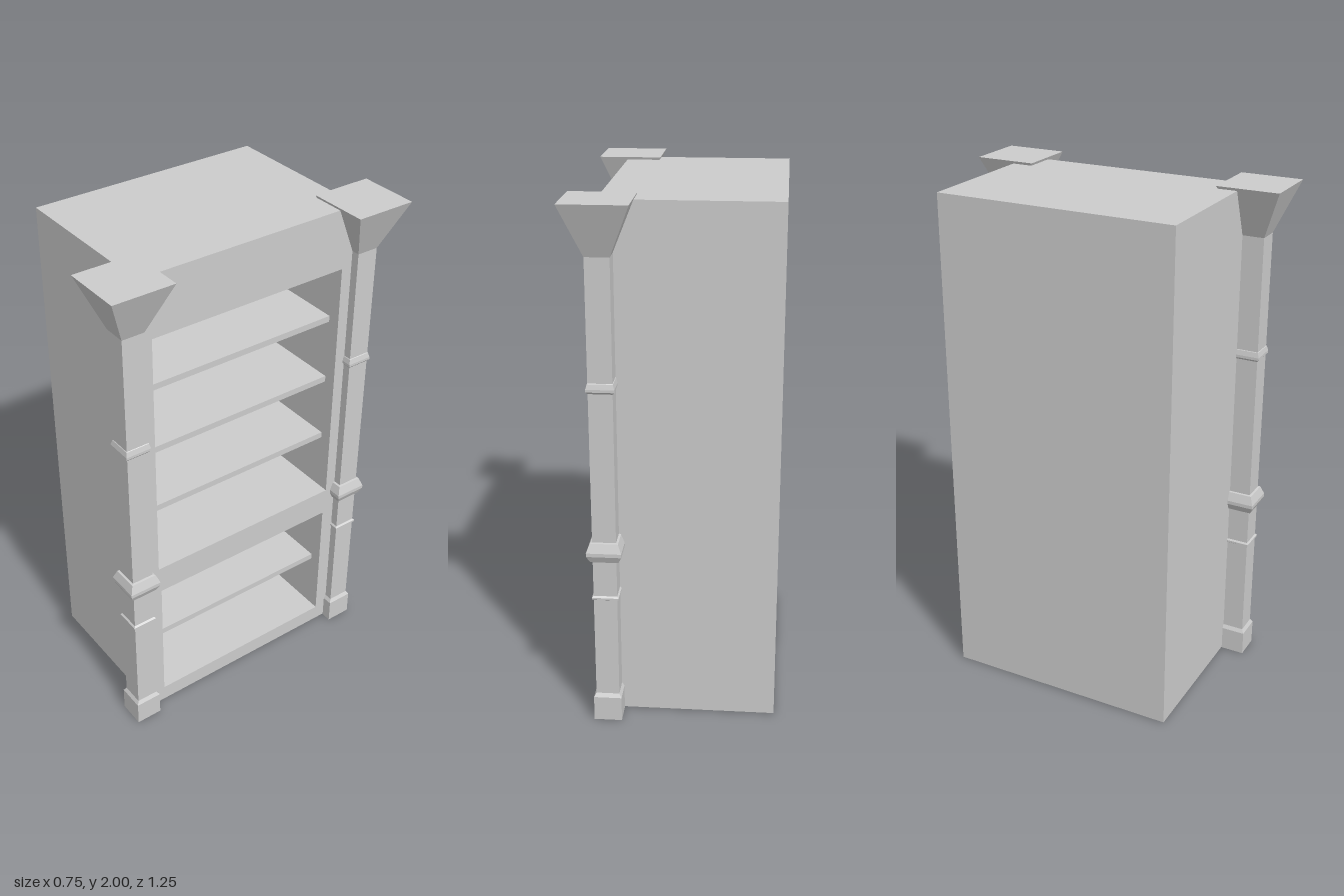
import * as THREE from 'three';

const material = new THREE.MeshStandardMaterial({ color: 0xcccccc, flatShading: true });

function add(parent, name, geometry, x = 0, y = 0, z = 0) {
  const mesh = new THREE.Mesh(geometry, material);
  mesh.name = name;
  mesh.position.set(x, y, z);
  parent.add(mesh);
  return mesh;
}

// Rectangle outline centred on x = 0, running from y0 to y1
function rectangle(path, halfWidth, y0, y1) {
  path.moveTo(-halfWidth, y0);
  path.lineTo(halfWidth, y0);
  path.lineTo(halfWidth, y1);
  path.lineTo(-halfWidth, y1);
  path.closePath();
  return path;
}

// Square-section turning: profile is a list of [half width, height]
function squareTurned(profile) {
  const points = profile.map(([h, y]) => new THREE.Vector2(h * Math.SQRT2, y));
  return new THREE.LatheGeometry(points, 4, Math.PI / 4).toNonIndexed();
}

export function createModel() {
  const model = new THREE.Group();
  model.name = 'bookcase';

  const back = -0.38, cavityBack = -0.35, front = 0.265;
  const bottom = 0.004, top = 1.99, halfWidth = 0.4675, centreZ = -0.0025;
  const upper = { half: 0.415, y0: 0.725, y1: 1.75, shelves: [0.978, 1.248, 1.518] };
  const lower = { half: 0.405, y0: 0.07, y1: 0.61, shelves: [0.333] };

  // Carcass with two open compartments facing +x
  const outline = rectangle(new THREE.Shape(), halfWidth, bottom, top);
  for (const c of [upper, lower]) {
    outline.holes.push(rectangle(new THREE.Path(), c.half, c.y0, c.y1));
  }
  const carcass = new THREE.ExtrudeGeometry(outline, { depth: front - cavityBack, bevelEnabled: false });
  carcass.rotateY(Math.PI / 2);
  add(model, 'carcass', carcass, cavityBack, 0, centreZ);

  // Back panel closes the compartments
  add(model, 'backPanel',
    new THREE.BoxGeometry(cavityBack - back, top - bottom, halfWidth * 2),
    (back + cavityBack) / 2, (top + bottom) / 2, centreZ);

  // Shelves, set back a little from the front
  const shelfFront = 0.215;
  for (const c of [upper, lower]) {
    for (const y of c.shelves) {
      add(model, 'shelf',
        new THREE.BoxGeometry(shelfFront - cavityBack, 0.025, c.half * 2),
        (shelfFront + cavityBack) / 2, y, centreZ);
    }
  }

  // Square corner columns: plinth, shaft with three mouldings, flared capital
  const columnProfile = [
    [0, 0], [0.053, 0], [0.053, 0.098], [0.044, 0.113],
    [0.044, 0.515], [0.05, 0.519], [0.05, 0.526], [0.044, 0.532],
    [0.044, 0.673], [0.052, 0.675], [0.065, 0.702], [0.065, 0.716], [0.052, 0.75], [0.044, 0.752],
    [0.044, 1.325], [0.051, 1.333], [0.051, 1.343], [0.046, 1.362], [0.044, 1.364],
    [0.044, 1.81], [0.121, 2], [0, 2],
  ];
  for (const side of [1, -1]) {
    add(model, side > 0 ? 'leftColumn' : 'rightColumn',
      squareTurned(columnProfile), 0.254, 0, side * 0.506);
  }

  return model;
}
